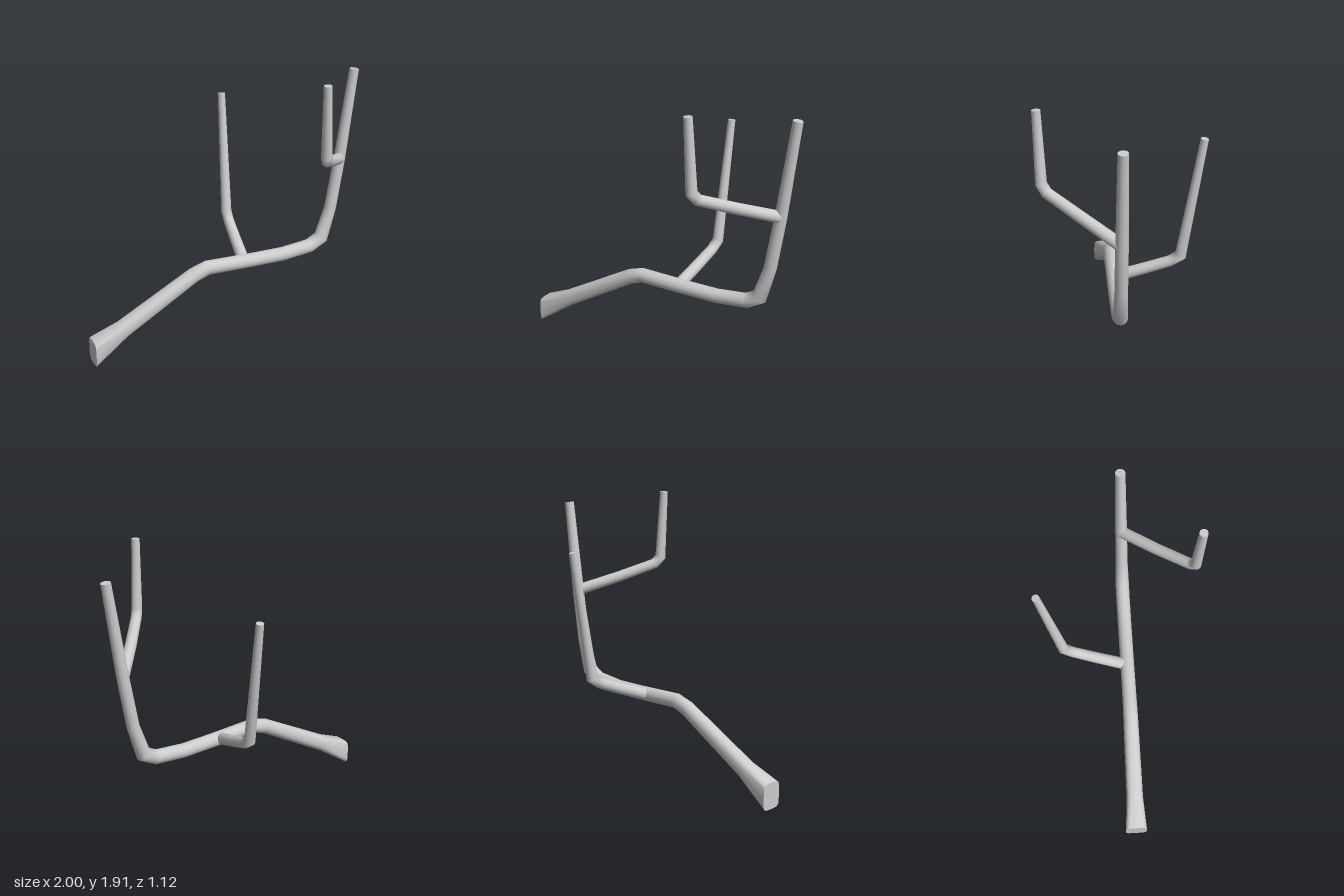
import * as THREE from 'three';

const SIDES = 16;
const V = (x, y, z) => new THREE.Vector3(x, y, z);
const material = new THREE.MeshStandardMaterial({ color: 0xcccccc });

// Signed power: turns a circle into a rounded square as n grows above 2
const soften = (c, n) => Math.sign(c) * Math.abs(c) ** (2 / n);

// Tapered limb swept through rings { p, r, rv, n, cut }; "side" is the normal of the plane it bends in
function limb(name, rings, side) {
  const pos = [], index = [], loops = [];
  rings.forEach(({ p, r, rv = r, n = 2, cut }, i) => {
    const before = rings[Math.max(i - 1, 0)].p, after = rings[Math.min(i + 1, rings.length - 1)].p;
    const a = (i ? p.clone().sub(before) : after.clone().sub(p)).normalize();
    const b = (after === p ? a.clone() : after.clone().sub(p)).normalize();
    const t = cut ?? a.clone().add(b).normalize();
    const u = side.clone().addScaledVector(t, -side.dot(t)).normalize();
    const v = t.clone().cross(u);
    const height = cut ? rv : rv / t.dot(a); // mitred joint
    const loop = [];
    for (let j = 0; j < SIDES; j++) {
      const q = (j / SIDES) * Math.PI * 2;
      loop.push(p.clone().addScaledVector(u, r * soften(Math.cos(q), n))
        .addScaledVector(v, height * soften(Math.sin(q), n)));
    }
    loops.push(loop);
    loop.forEach((k) => pos.push(k.x, k.y, k.z));
  });

  // Bark
  for (let i = 0; i < rings.length - 1; i++) {
    for (let j = 0; j < SIDES; j++) {
      const k = (j + 1) % SIDES, lo = i * SIDES, hi = lo + SIDES;
      index.push(lo + j, lo + k, hi + k, lo + j, hi + k, hi + j);
    }
  }
  // Flat cut ends, with their own vertices for a sharp edge
  [0, rings.length - 1].forEach((i) => {
    const c = pos.length / 3;
    [rings[i].p, ...loops[i]].forEach((k) => pos.push(k.x, k.y, k.z));
    for (let j = 0; j < SIDES; j++) {
      const j0 = c + 1 + j, j1 = c + 1 + ((j + 1) % SIDES);
      index.push(c, ...(i ? [j0, j1] : [j1, j0]));
    }
  });

  const geometry = new THREE.BufferGeometry();
  geometry.setAttribute('position', new THREE.Float32BufferAttribute(pos, 3));
  geometry.setIndex(index);
  geometry.computeVertexNormals();
  const mesh = new THREE.Mesh(geometry, material);
  mesh.name = name;
  return mesh;
}

export function createModel() {
  const group = new THREE.Group();
  group.name = 'branch';
  const z = 0.047;

  // Main limb: squared butt cut upright, dipping middle, then turning up
  group.add(limb('mainLimb', [
    { p: V(-1, 0.1, z), r: 0.077, rv: 0.09, n: 5, cut: V(1, 0, 0) },
    { p: V(-0.78, 0.226, z), r: 0.06, rv: 0.058, n: 2.6 },
    { p: V(-0.25, 0.52, z), r: 0.053 },
    { p: V(-0.148, 0.553, z), r: 0.051 },
    { p: V(0.2, 0.54, z), r: 0.05 },
    { p: V(0.44, 0.535, z), r: 0.05 },
    { p: V(0.66, 0.555, z), r: 0.05 },
    { p: V(0.755, 0.607, z), r: 0.05 },
    { p: V(0.822, 0.83, z), r: 0.043 },
    { p: V(0.88, 1.2, z), r: 0.041 },
    { p: V(0.963, 1.838, z), r: 0.033 },
  ], V(0, 0, 1)));

  // Rear branch, rising from the middle of the main limb
  group.add(limb('rearBranch', [
    { p: V(0.138, 0.54, 0.04), r: 0.042 },
    { p: V(0.172, 0.617, -0.17), r: 0.04 },
    { p: V(0.2, 0.682, -0.335), r: 0.038 },
    { p: V(0.212, 0.732, -0.405), r: 0.038 },
    { p: V(0.234, 1.595, -0.535), r: 0.026 },
  ], V(1, 0, 0.2).normalize()));

  // Front branch, growing from the upright part
  group.add(limb('frontBranch', [
    { p: V(0.875, 1.195, 0.05), r: 0.041 },
    { p: V(0.68, 1.292, 0.28), r: 0.039 },
    { p: V(0.515, 1.385, 0.485), r: 0.037 },
    { p: V(0.488, 1.435, 0.518), r: 0.037 },
    { p: V(0.467, 1.915, 0.533), r: 0.028 },
  ], V(0.77, 0, 0.64).normalize()));

  return group;
}
